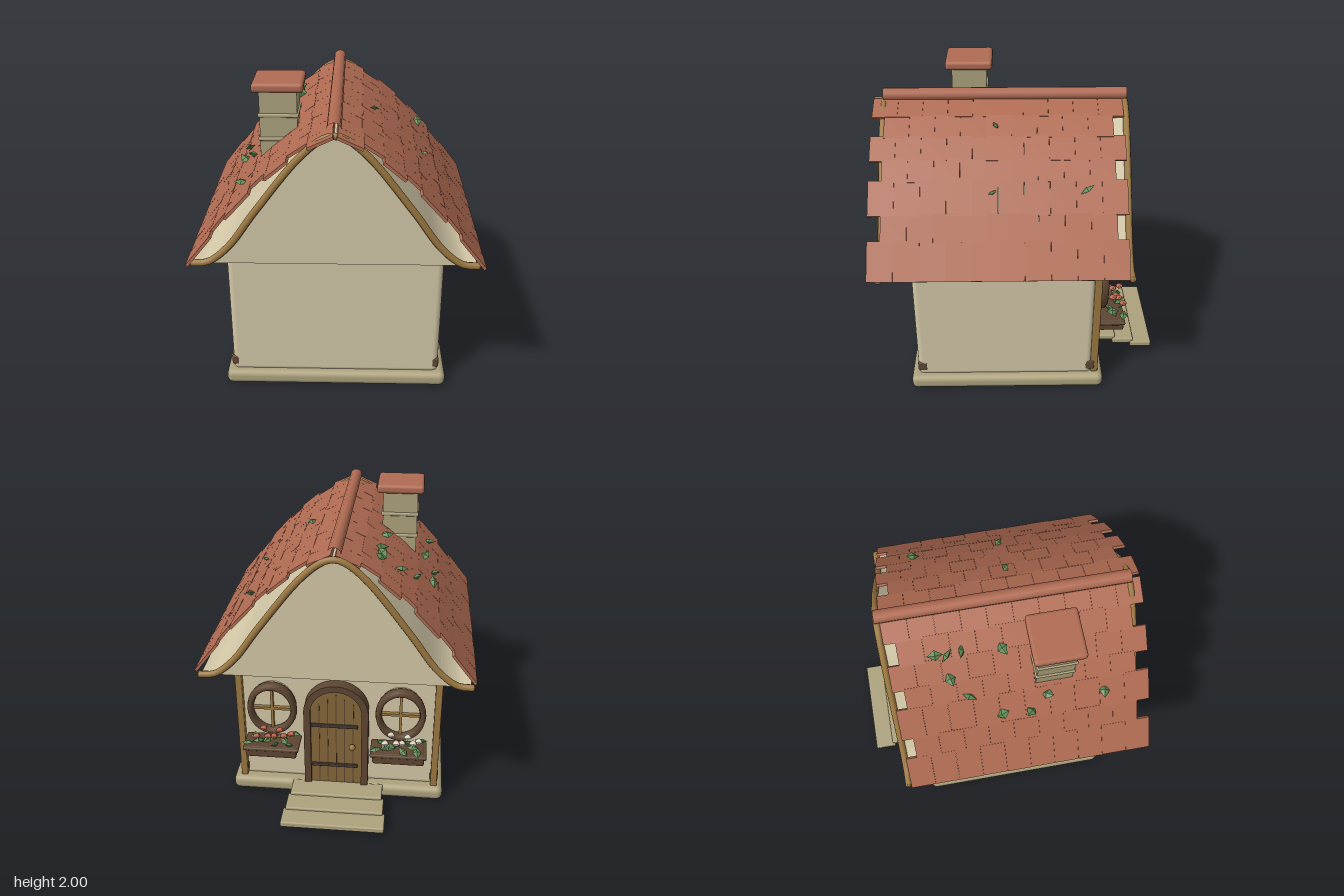
import * as THREE from 'three';
import { mergeGeometries } from 'three/addons/utils/BufferGeometryUtils.js';
import { RoundedBoxGeometry } from 'three/addons/geometries/RoundedBoxGeometry.js';

const mat = (name, color) => {
  const m = new THREE.MeshStandardMaterial({ color });
  m.name = name;
  return m;
};
const V2 = (p) => new THREE.Vector2(p[0], p[1]);

export function createModel() {
  const plaster = mat('plaster', 0xd3c8a7);
  const stone = mat('stone', 0xada27d);
  const tile = mat('roof tile', 0xb06b52);
  const wood = mat('honey wood', 0x9c7841);
  const doorWood = mat('door wood', 0x86673a);
  const darkWood = mat('dark wood', 0x5e4632);
  const iron = mat('iron', 0x4a3d33);
  const leafGreen = mat('leaf green', 0x5f8c55);
  const red = mat('red petal', 0xc0654e);
  const cream = mat('cream petal', 0xe0d8c4);

  const house = new THREE.Group();
  house.name = 'cottage';
  const add = (parent, name, geo, material, x = 0, y = 0, z = 0) => {
    const m = new THREE.Mesh(geo, material);
    m.name = name;
    m.position.set(x, y, z);
    parent.add(m);
    return m;
  };
  const rbox = (w, h, d, r) => new RoundedBoxGeometry(w, h, d, 2, r);

  // Plinth, walls and iron feet at the corners
  add(house, 'plinth', rbox(1.45, 0.1, 1.3, 0.04), stone, -0.005, 0.05, 0.1);
  add(house, 'walls', rbox(1.36, 0.93, 1.18, 0.04), plaster, -0.008, 0.545, 0.115);
  for (const x of [-0.667, 0.647]) {
    for (const z of [0.672, -0.46]) add(house, 'cornerFoot', rbox(0.055, 0.07, 0.065, 0.012), darkWood, x, 0.16, z);
    add(house, 'cornerPost', rbox(0.045, 0.9, 0.05, 0.008), wood, x, 0.55, -0.49);
  }

  // Bell-curved loft with a wooden trim at each gable
  const half = [[0.86, 1.005], [0.76, 1.015], [0.635, 1.115], [0.465, 1.35], [0.2, 1.69], [0.07, 1.8]];
  const bell = [...half.map(([x, y]) => [-x, y]), [0, 1.82], ...half.slice().reverse()];
  const bellCurve = new THREE.SplineCurve(bell.map(V2));
  const bellPts = bellCurve.getPoints(72);
  const loft = new THREE.Shape([new THREE.Vector2(-0.84, 1), ...bellPts.slice(1, -1), new THREE.Vector2(0.84, 1)]);
  const loftGeo = new THREE.ExtrudeGeometry(loft, { depth: 1.52, bevelEnabled: false });
  add(house, 'loft', loftGeo, plaster, -0.005, 0, -0.655);
  const trimPath = new THREE.CatmullRomCurve3(bell.map(([x, y]) => new THREE.Vector3(x, y, 0)));
  for (const z of [0.875, -0.668]) {
    add(house, 'gableTrim', new THREE.TubeGeometry(trimPath, 72, 0.022, 8), wood, -0.005, 0, z);
    for (const s of [-1, 1]) {
      const end = add(house, 'trimEnd', new THREE.SphereGeometry(0.022, 8, 6), wood, s * 0.86 - 0.005, 1.005, z);
      end.scale.x = 0.4;
    }
  }

  // Staggered tile rows on both slopes
  const slope = [[0, 1.85], [0.02, 1.838], [0.155, 1.775], [0.28, 1.69], [0.4, 1.59], [0.5, 1.495],
    [0.64, 1.34], [0.74, 1.212], [0.885, 1.028]];
  const roofY = (x) => {
    const a = Math.abs(x);
    const i = Math.max(1, slope.findIndex((p) => p[0] >= a));
    const [p, q] = [slope[i - 1], slope[i]];
    return p[1] + (q[1] - p[1]) * (a - p[0]) / (q[0] - p[0]);
  };
  for (const s of [-1, 1]) {
    const tiles = [];
    for (let r = 0; r < 7; r++) {
      const [p, q] = [slope[r + 1], slope[r + 2]];
      const dx = q[0] - p[0], dy = q[1] - p[1], len = Math.hypot(dx, dy);
      const full = r % 2 === 0, n = full ? 10 : 9;
      const z0 = full ? -0.65 : -0.58, pitch = (full ? 1.59 : 1.44) / n;
      for (let k = 0; k < n; k++) {
        const g = new THREE.BoxGeometry(len + 0.012, 0.018, pitch - 0.001);
        g.rotateZ(s * (Math.atan2(dy, dx) + 0.012 * Math.sin(k * 2.4 + r * 1.7)));
        g.translate(s * ((p[0] + q[0]) / 2 + dy / len * 0.009), (p[1] + q[1]) / 2 - dx / len * 0.009, z0 + (k + 0.5) * pitch);
        tiles.push(g);
      }
    }
    add(house, s < 0 ? 'rightRoofTiles' : 'leftRoofTiles', mergeGeometries(tiles), tile);
  }
  const ridgeGeo = new THREE.CylinderGeometry(0.042, 0.042, 1.56, 12, 1, true).rotateX(Math.PI / 2);
  add(house, 'ridgeCap', ridgeGeo, tile, -0.008, 1.858, 0.1);

  // Chimney
  const chimney = new THREE.Group();
  chimney.name = 'chimney';
  chimney.position.set(-0.357, 0, 0.34);
  house.add(chimney);
  add(chimney, 'stack', new THREE.BoxGeometry(0.23, 0.6, 0.23), stone, 0, 1.66, 0);
  for (const y of [1.64, 1.79]) add(chimney, 'band', rbox(0.25, 0.025, 0.25, 0.01), stone, 0, y, 0);
  add(chimney, 'cap', rbox(0.312, 0.06, 0.312, 0.022), tile, 0, 1.97, 0);

  // Ivy leaves as little flattened gems
  const leaf = (parent, x, y, z, size, i) => {
    const m = add(parent, 'leaf', new THREE.OctahedronGeometry(size, 0), leafGreen, x, y, z);
    m.scale.set(0.75, 0.4, 1.1);
    m.rotation.set(Math.sin(i * 2.1) * 0.7, i * 1.9, Math.cos(i * 3.3) * 0.6);
  };
  const ivy = [[-0.26, -0.36], [-0.39, -0.29], [-0.27, -0.29], [-0.49, -0.19], [-0.26, -0.2], [-0.6, 0], [-0.28, 0.05],
    [-0.61, 0.18], [-0.54, 0.29], [-0.57, 0.65], [0.55, -0.4], [0.23, 0.16], [0.56, 0.18]];
  ivy.forEach(([x, z], i) => leaf(house, x, roofY(x) + 0.02, z, i > 10 ? 0.03 : 0.045, i));

  // Door side, built facing +z and turned to the rear
  const facade = new THREE.Group();
  facade.name = 'entrance';
  facade.rotation.y = Math.PI;
  house.add(facade);

  // Arched door with frame, plank grooves, straps and knob
  const arch = (w, top, C) => {
    const s = new C();
    s.moveTo(-w, 0.09);
    s.lineTo(w, 0.09);
    s.lineTo(w, top - w);
    s.absarc(0, top - w, w, 0, Math.PI, false);
    s.lineTo(-w, 0.09);
    return s;
  };
  const frame = arch(0.215, 0.89, THREE.Shape);
  frame.holes.push(arch(0.17, 0.845, THREE.Path));
  const solid = (shape, depth) => new THREE.ExtrudeGeometry(shape, { depth, bevelEnabled: false, curveSegments: 16 });
  add(facade, 'doorFrame', solid(frame, 0.09), darkWood, 0, 0, 0.465);
  add(facade, 'door', solid(arch(0.172, 0.847, THREE.Shape), 0.065), doorWood, 0, 0, 0.465);
  for (let i = -2; i <= 2; i++) {
    const h = 0.71 - Math.abs(i) * 0.035;
    add(facade, 'plankGroove', new THREE.BoxGeometry(0.006, h, 0.006), darkWood, i * 0.057, 0.1 + h / 2, 0.531);
  }
  for (const y of [0.25, 0.57]) add(facade, 'strapHinge', rbox(0.31, 0.024, 0.016, 0.005), iron, -0.01, y, 0.537);
  add(facade, 'doorKnob', new THREE.SphereGeometry(0.022, 10, 8), wood, 0.11, 0.42, 0.56);

  // Oval windows, planters and their flowers
  for (const s of [-1, 1]) {
    const win = new THREE.Group();
    win.name = 'window';
    win.position.set(s * 0.425, 0.685, 0.47);
    facade.add(win);
    const pane = add(win, 'pane', new THREE.CylinderGeometry(0.15, 0.15, 0.05, 28).rotateX(Math.PI / 2), plaster, 0, 0, 0.02);
    pane.scale.y = 1.18;
    const ring = add(win, 'windowRing', new THREE.TorusGeometry(0.145, 0.021, 8, 32), darkWood, 0, 0, 0.06);
    ring.scale.set(1, 1.17, 2);
    add(win, 'mullion', new THREE.BoxGeometry(0.018, 0.32, 0.03), wood, 0, 0, 0.055);
    add(win, 'crossbar', new THREE.BoxGeometry(0.28, 0.018, 0.03), wood, 0, 0, 0.055);

    const planter = new THREE.Group();
    planter.name = 'planter';
    planter.position.set(s * 0.42, 0.43, 0.6);
    facade.add(planter);
    add(planter, 'planterBox', rbox(0.34, 0.08, 0.17, 0.015), darkWood);
    add(planter, 'planterRim', rbox(0.37, 0.025, 0.185, 0.01), darkWood, 0, 0.025, 0);
    for (let i = 0; i < 11; i++) {
      leaf(planter, -0.15 + i * 0.03, 0.075 + 0.025 * Math.sin(i * 2.7), 0.035 + 0.045 * Math.cos(i * 2.2), 0.038, i + s);
    }
    for (let i = 0; i < 7; i++) {
      const f = add(planter, 'flower', new THREE.IcosahedronGeometry(0.028, 0), s < 0 ? red : cream,
        0.02 + (i - 3) * 0.036, 0.13 + 0.022 * Math.sin(i * 1.8), 0.045 + 0.035 * Math.cos(i * 2.6));
      f.scale.y = 0.55;
    }
  }

  // Three shallow steps
  [[0.62, 0.085, 0.605], [0.65, 0.066, 0.735], [0.68, 0.047, 0.863]].forEach(([w, y, z]) =>
    add(facade, 'step', rbox(w, 0.04, 0.15, 0.01), stone, 0.01, y, z));

  return house;
}
